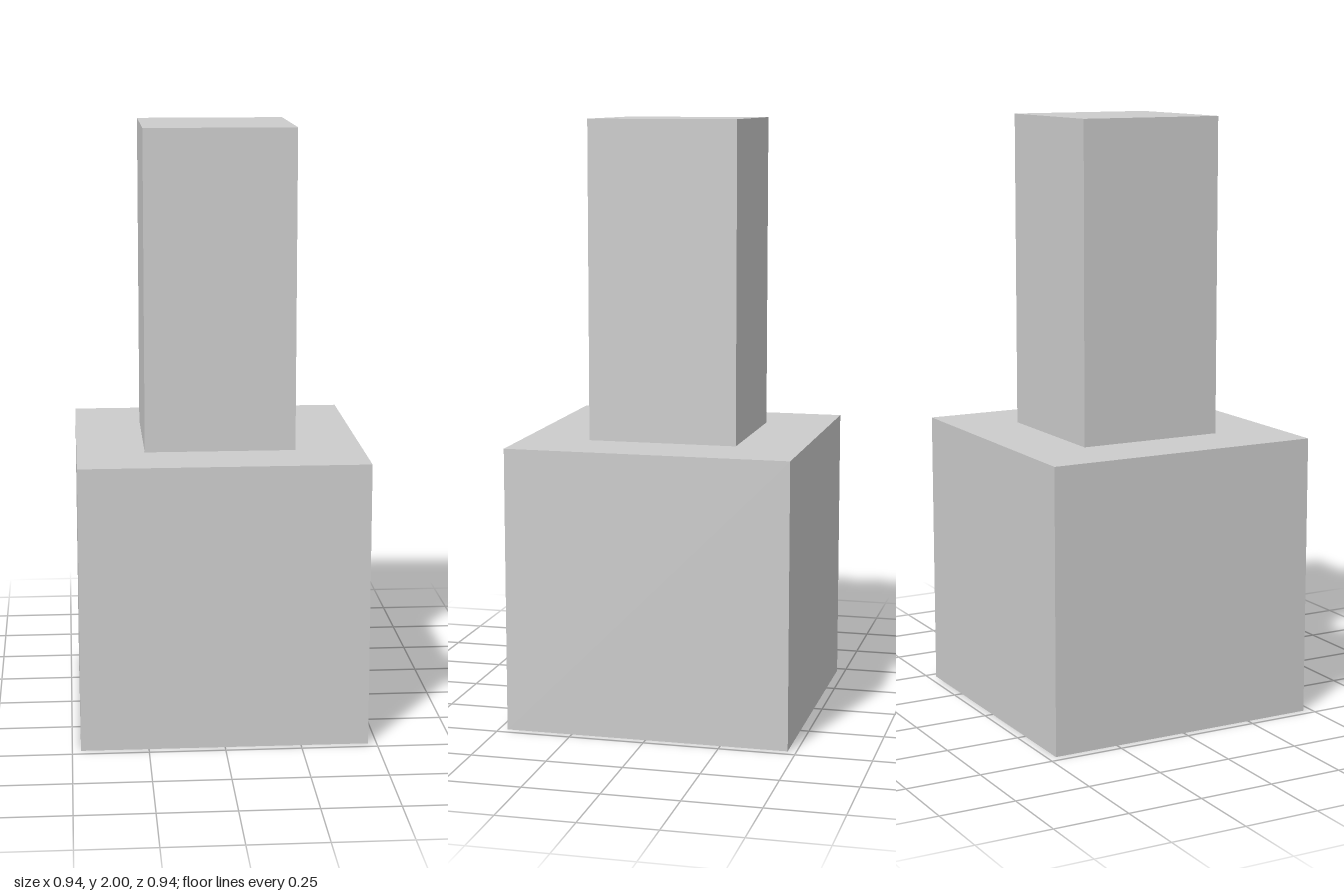
import * as THREE from 'three';

const HEIGHT = 2;
const BASE = 0.944; // edge of the cubic base
const COLUMN = 0.497; // width of the square column

export function createModel() {
  const model = new THREE.Group();
  model.name = 'columnOnBase';
  const material = new THREE.MeshStandardMaterial({ color: 0xcccccc, flatShading: true });

  // Square block standing with its underside at the given height
  const addBlock = (name, width, height, bottom) => {
    const block = new THREE.Mesh(new THREE.BoxGeometry(width, height, width), material);
    block.name = name;
    block.position.y = bottom + height / 2;
    model.add(block);
  };

  addBlock('base', BASE, BASE, 0);
  addBlock('column', COLUMN, HEIGHT - BASE, BASE);

  return model;
}
